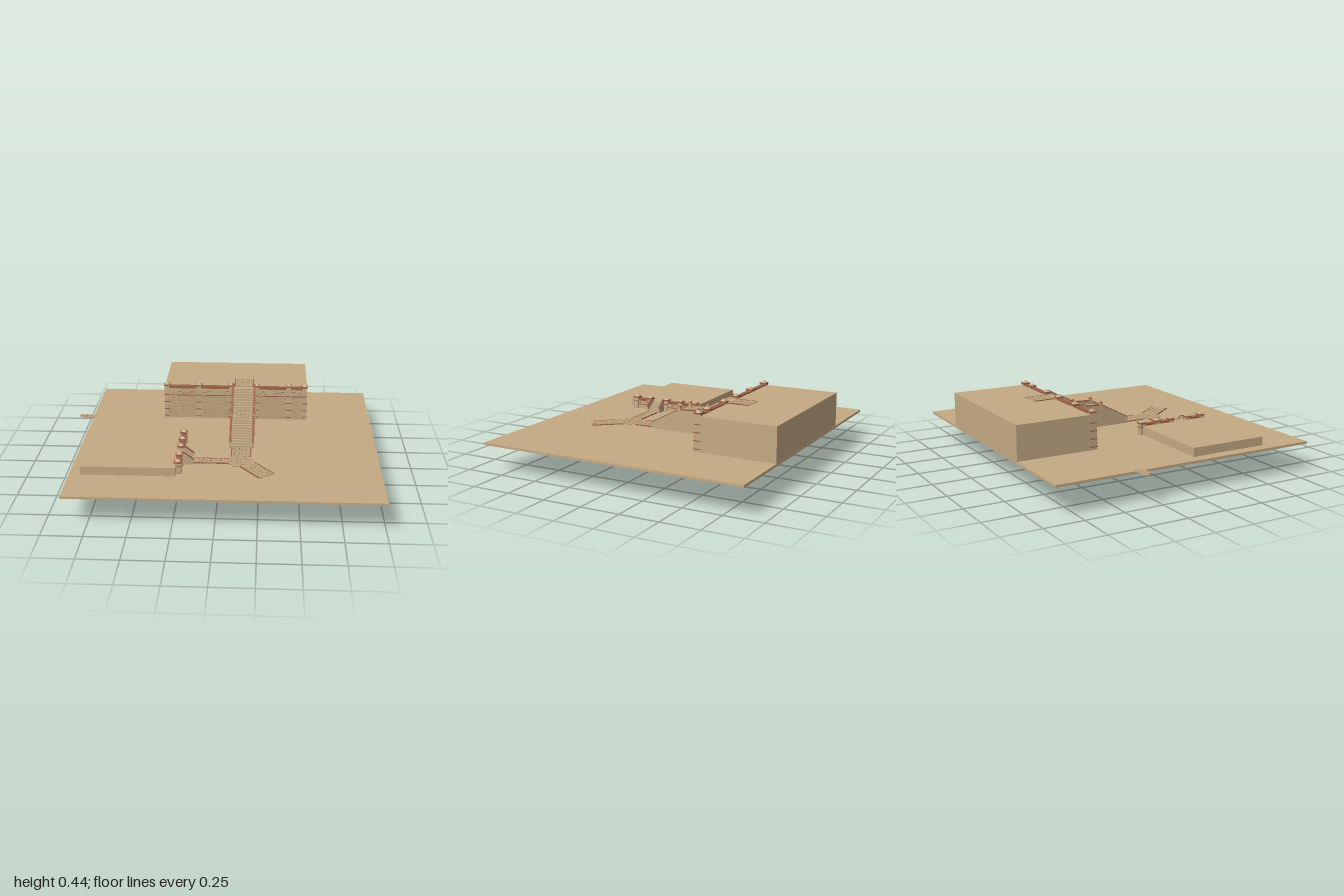
import * as THREE from 'three';
import { mergeGeometries } from 'three/addons/utils/BufferGeometryUtils.js';

const paint = (name, color) => {
  const m = new THREE.MeshStandardMaterial({ color });
  m.name = name;
  return m;
};

export function createModel() {
  const sand = paint('sand', 0xc4aa84);
  const stone = paint('stone', 0xbea27b);
  const brick = paint('brick', 0x9a6047);

  let seed = 11;
  const rnd = () => (seed = (seed * 16807) % 2147483647) / 2147483647;

  const add = (parent, name, geo, mat) => {
    const mesh = new THREE.Mesh(geo, mat);
    mesh.name = name;
    parent.add(mesh);
    return mesh;
  };
  const group = (parent, name) => {
    const g = new THREE.Group();
    g.name = name;
    parent.add(g);
    return g;
  };
  // Box given by its limits on each axis
  const box = (x0, x1, y0, y1, z0, z1) =>
    new THREE.BoxGeometry(x1 - x0, y1 - y0, z1 - z0)
      .translate((x0 + x1) / 2, (y0 + y1) / 2, (z0 + z1) / 2).toNonIndexed();
  // Side profile of [z, y] points, extruded from x0 to x1
  const prism = (pts, x0, x1) => {
    const shape = new THREE.Shape(pts.map(([z, y]) => new THREE.Vector2(-z, y)));
    return new THREE.ExtrudeGeometry(shape, { depth: x1 - x0, bevelEnabled: false })
      .rotateY(Math.PI / 2).translate(x0, 0, 0);
  };

  // Sheet of irregular stones in the XY plane, centred, facing +z
  const stones = (w, h, cell, inside = () => true, depth = 0.005) => {
    const nx = Math.max(2, Math.round(w / cell)), ny = Math.max(2, Math.round(h / cell));
    const grid = [];
    for (let j = 0; j <= ny; j++) for (let i = 0; i <= nx; i++) {
      const jx = i % nx ? (rnd() - 0.5) * 0.65 : 0, jy = j % ny ? (rnd() - 0.5) * 0.65 : 0;
      grid.push(new THREE.Vector2(((i + jx) / nx - 0.5) * w, ((j + jy) / ny - 0.5) * h));
    }
    const parts = [];
    for (let j = 0; j < ny; j++) for (let i = 0; i < nx; i++) {
      const a = j * (nx + 1) + i;
      const q = [grid[a], grid[a + 1], grid[a + nx + 2], grid[a + nx + 1]];
      const c = q.reduce((s, p) => s.add(p), new THREE.Vector2()).multiplyScalar(0.25);
      if (!inside(c.x, c.y)) continue;
      const pts = [];
      q.forEach((p, k) => {
        const cut = 0.12 + rnd() * 0.14;
        pts.push(p.clone().lerp(q[(k + 3) % 4], cut), p.clone().lerp(q[(k + 1) % 4], cut));
      });
      pts.forEach(p => p.lerp(c, 0.09));
      parts.push(new THREE.ExtrudeGeometry(new THREE.Shape(pts), { depth, bevelEnabled: false }));
    }
    return mergeGeometries(parts);
  };
  // Stone path lying on the ground, with optional brick edging along its length
  const path = (parent, name, x, y, z, w, len, turn = 0, edged = true, inside) => {
    const g = group(parent, name);
    add(g, 'pathStones', stones(w, len, 0.026, inside).rotateX(-Math.PI / 2), stone);
    if (edged) {
      const parts = [], n = Math.round(len / 0.022);
      for (const s of [-1, 1]) for (let i = 0; i < n; i++) {
        const z0 = -len / 2 + (i * len) / n, c = s * (w / 2 + 0.002);
        parts.push(box(c - 0.003, c + 0.003, 0, 0.006, z0, z0 + len / n - 0.003));
      }
      add(g, 'brickEdging', mergeGeometries(parts), brick);
    }
    g.position.set(x, y, z);
    g.rotation.y = turn;
  };

  // Battered pillar with brick bands and a pointed cap, front towards +z
  const pillar = (parent, x, bottom, top) => {
    const g = group(parent, 'pillar');
    const h = top - bottom, body = box(-0.016, 0.016, 0, h, -0.02, 0.02);
    const p = body.attributes.position;
    for (let i = 0; i < p.count; i++) if (p.getY(i) < h / 2 && p.getZ(i) > 0) p.setZ(i, 0.031);
    body.computeVertexNormals();
    add(g, 'pillarBody', body, sand);
    const bands = [];
    for (let y = 0.035; y < h - 0.02; y += 0.05) {
      const front = 0.0325 - 0.011 * (y / h);
      bands.push(box(-0.0172, 0.0172, y, y + 0.006, -0.0205, front));
    }
    bands.push(box(-0.021, 0.021, h - 0.004, h + 0.005, -0.022, 0.024));
    add(g, 'brickBands', mergeGeometries(bands), brick);
    const cap = new THREE.ConeGeometry(0.024, 0.016, 4, 1).rotateY(Math.PI / 4).toNonIndexed();
    cap.computeVertexNormals();
    add(g, 'pillarCap', cap.translate(0, h + 0.013, 0.001), sand);
    g.position.set(x, bottom, 0);
  };

  // Wall panel between two pillars: plaster body, brick courses, scattered bricks, coping
  const panel = (parent, x0, x1, bottom, top, faced) => {
    const g = group(parent, 'wallPanel');
    const h = top - bottom, flare = faced ? 0.011 : 0.003;
    const front = y => 0.012 + flare * (top - y) / h;
    add(g, 'wallBody', prism([[-0.012, bottom], [front(bottom), bottom], [0.012, top], [-0.012, top]], x0, x1), sand);
    const line = faced ? 0.352 : 0.215, bricks = [];
    bricks.push(box(x0, x1, line, line + 0.005, 0, front(line) + 0.003));
    for (let x = x0 + 0.022; x < x1 - 0.025; x += 0.017) {
      if (rnd() < 0.35) continue;
      const y = line + 0.014 + Math.floor(rnd() * 3) * 0.008;
      bricks.push(box(x, x + 0.011, y, y + 0.005, 0, front(y) + 0.002));
    }
    for (let x = x0; x < x1 - 0.006; x += 0.012)
      bricks.push(box(x, x + 0.01, top - 0.013, top - 0.006, -0.013, 0.016));
    bricks.push(box(x0, x1, top - 0.006, top + 0.002, -0.015, 0.017));
    add(g, 'brickwork', mergeGeometries(bricks), brick);
    if (faced) {
      const y0 = 0.193, w = x1 - x0 - 0.034, m = (y0 + line) / 2;
      const face = add(g, 'stoneFacing', stones(w, line - y0, 0.022), stone);
      face.position.set((x0 + x1) / 2, m, front(m) - 0.001);
      face.rotation.x = -Math.atan(flare / h);
    }
  };
  const wall = (parent, name, xs, gap, pillarBottom, bottom, top, faced) => {
    const g = group(parent, name);
    xs.forEach((x, i) => {
      pillar(g, x, pillarBottom, top + 0.008);
      if (i && i - 1 !== gap) panel(g, xs[i - 1], x, bottom, top, faced);
    });
    return g;
  };
  // Stair profile points descending from (z0, y0) to (z1, y1)
  const steps = (z0, y0, z1, y1, n) => {
    const pts = [];
    for (let i = 0; i < n; i++) {
      const z = z0 + ((z1 - z0) * (i + 1)) / n;
      pts.push([z, y0 - ((y0 - y1) * i) / n], [z, y0 - ((y0 - y1) * (i + 1)) / n]);
    }
    return pts;
  };
  // Thin sloping coping that follows a line of [z, y] points
  const coping = (line, x0, x1) =>
    prism([...line, ...line.map(([z, y]) => [z, y + 0.006]).reverse()], x0, x1);

  const model = new THREE.Group();
  model.name = 'terracedGarden';

  // Ground and terraces
  add(model, 'ground', box(-0.9, 1, 0.175, 0.19, -0.875, 0.875), sand);
  add(model, 'backTerrace', box(-0.405, 0.567, 0.185, 0.41, -0.874, -0.37), sand);
  add(model, 'sideTerrace', box(-0.83, -0.25, 0.185, 0.245, 0.07, 0.58), sand);

  // Retaining walls
  wall(model, 'backWall', [-0.389, -0.17, 0.052, 0.222, 0.442, 0.55], 2, 0.17, 0.172, 0.416, true)
    .position.z = -0.37;
  const side = wall(model, 'sideWall', [-0.527, -0.42, -0.293, -0.184, -0.073], 1, 0, 0.18, 0.256, false);
  side.position.x = -0.24;
  side.rotation.y = Math.PI / 2;

  // Main stairway with landing
  const main = group(model, 'mainStairway');
  add(main, 'mainSteps', prism([[-0.375, 0.18], [-0.375, 0.41],
    ...steps(-0.36, 0.41, -0.19, 0.31, 9), ...steps(-0.05, 0.31, 0.14, 0.195, 11), [0.14, 0.18]], 0.068, 0.204), sand);
  add(main, 'foundation', prism([[-0.28, 0.18], [-0.28, 0.13], [-0.19, 0.13], [-0.19, 0.08], [0.045, 0.08],
    [0.045, 0.022], [0.144, 0.022], [0.144, 0.18]], 0.068, 0.204), sand);
  path(main, 'landing', 0.136, 0.309, -0.12, 0.13, 0.135, 0, false);
  const rail = [[-0.36, 0.435], [-0.19, 0.338], [-0.05, 0.332], [0.145, 0.23]];
  for (const x of [0.057, 0.203]) {
    add(main, 'stairWall', prism([[-0.36, 0.18], ...rail, [0.145, 0.022], [0.045, 0.022], [0.045, 0.08],
      [-0.19, 0.08], [-0.19, 0.13], [-0.28, 0.13], [-0.28, 0.18]], x, x + 0.012), sand);
    add(main, 'stairCoping', coping(rail, x - 0.001, x + 0.013), brick);
    for (const z of [-0.185, -0.054]) {
      add(main, 'landingPost', box(x - 0.004, x + 0.016, 0.3, 0.348, z - 0.01, z + 0.01), sand);
      add(main, 'postCap', new THREE.ConeGeometry(0.016, 0.014, 4).rotateY(Math.PI / 4)
        .toNonIndexed().translate(x + 0.006, 0.355, z), brick).geometry.computeVertexNormals();
    }
  }

  // Side stairway, built facing +z and turned towards +x
  const small = group(model, 'sideStairway');
  add(small, 'sideSteps', prism([[-0.015, 0.022], [-0.015, 0.246], ...steps(0, 0.246, 0.083, 0.192, 5),
    [0.083, 0.022]], -0.395, -0.315), sand);
  const smallRail = [[0.01, 0.266], [0.035, 0.262], [0.085, 0.222]];
  for (const x of [-0.407, -0.314]) {
    add(small, 'sideStairWall', prism([[0.01, 0.022], ...smallRail, [0.085, 0.022]], x, x + 0.011), sand);
    add(small, 'sideStairCoping', coping(smallRail, x - 0.001, x + 0.012), brick);
  }
  small.position.x = -0.24;
  small.rotation.y = Math.PI / 2;

  // Stone paths
  path(model, 'upperPath', 0.137, 0.409, -0.455, 0.12, 0.15);
  path(model, 'lowerPath', 0.136, 0.19, 0.212, 0.118, 0.14);
  path(model, 'crossing', 0.138, 0.19, 0.355, 0.15, 0.15, 0, false, (x, y) => Math.hypot(x, y) < 0.082);
  path(model, 'sidePath', -0.043, 0.19, 0.352, 0.064, 0.215, Math.PI / 2);
  path(model, 'diagonalPath', 0.24, 0.19, 0.475, 0.105, 0.2, 0.66);

  // Loose half-round patch beyond the ground edge
  path(model, 'loosePatch', -0.937, 0.187, -0.34, 0.126, 0.064, 0, false,
    (x, y) => Math.hypot(x / 0.066, (y - 0.032) / 0.06) < 1);
  return model;
}
